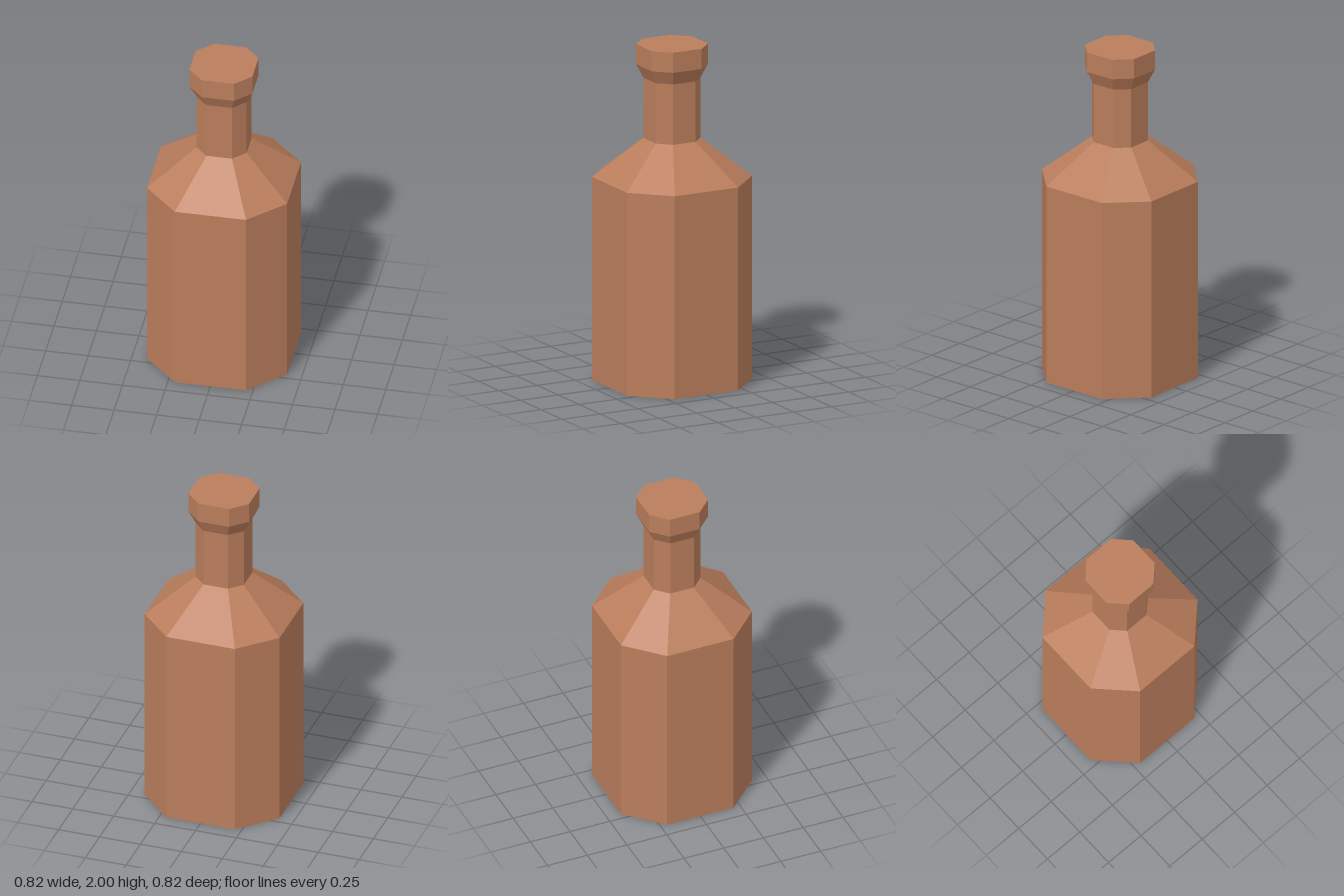
import * as THREE from 'three';

const CORNER = 0.508; // half length of a straight side relative to the half width

// Eight-sided section with wide front, back and side faces and narrower diagonals
function octagonSection(bottom, top, y0, y1, open) {
  const geometry = new THREE.CylinderGeometry(1, 1, 1, 8, 1, open, Math.PI / 8);
  const p = geometry.attributes.position;
  for (let i = 0; i < p.count; i++) {
    const x = p.getX(i), z = p.getZ(i), upper = p.getY(i) > 0;
    const r = upper ? top : bottom;
    const place = (v) => (Math.abs(v) < 0.1 ? 0 : Math.sign(v) * r * (Math.abs(v) > 0.6 ? 1 : CORNER));
    p.setXYZ(i, place(x), upper ? y1 : y0, place(z));
  }
  geometry.computeVertexNormals();
  return geometry;
}

export function createModel() {
  const group = new THREE.Group();
  group.name = 'bottle';
  const clay = new THREE.MeshStandardMaterial({ color: 0xba7d5c, flatShading: true });
  clay.name = 'clay brown';

  // name, half width at bottom and top, heights, open ends
  const parts = [
    ['body', 0.412, 0.412, 0, 1.21, false],
    ['shoulder', 0.412, 0.147, 1.21, 1.44, true],
    ['neck', 0.147, 0.147, 1.44, 1.8, true],
    ['lipFlare', 0.147, 0.185, 1.8, 1.88, true],
    ['lip', 0.185, 0.185, 1.88, 2, false],
  ];
  for (const [name, bottom, top, y0, y1, open] of parts) {
    const mesh = new THREE.Mesh(octagonSection(bottom, top, y0, y1, open), clay);
    mesh.name = name;
    group.add(mesh);
  }
  return group;
}
